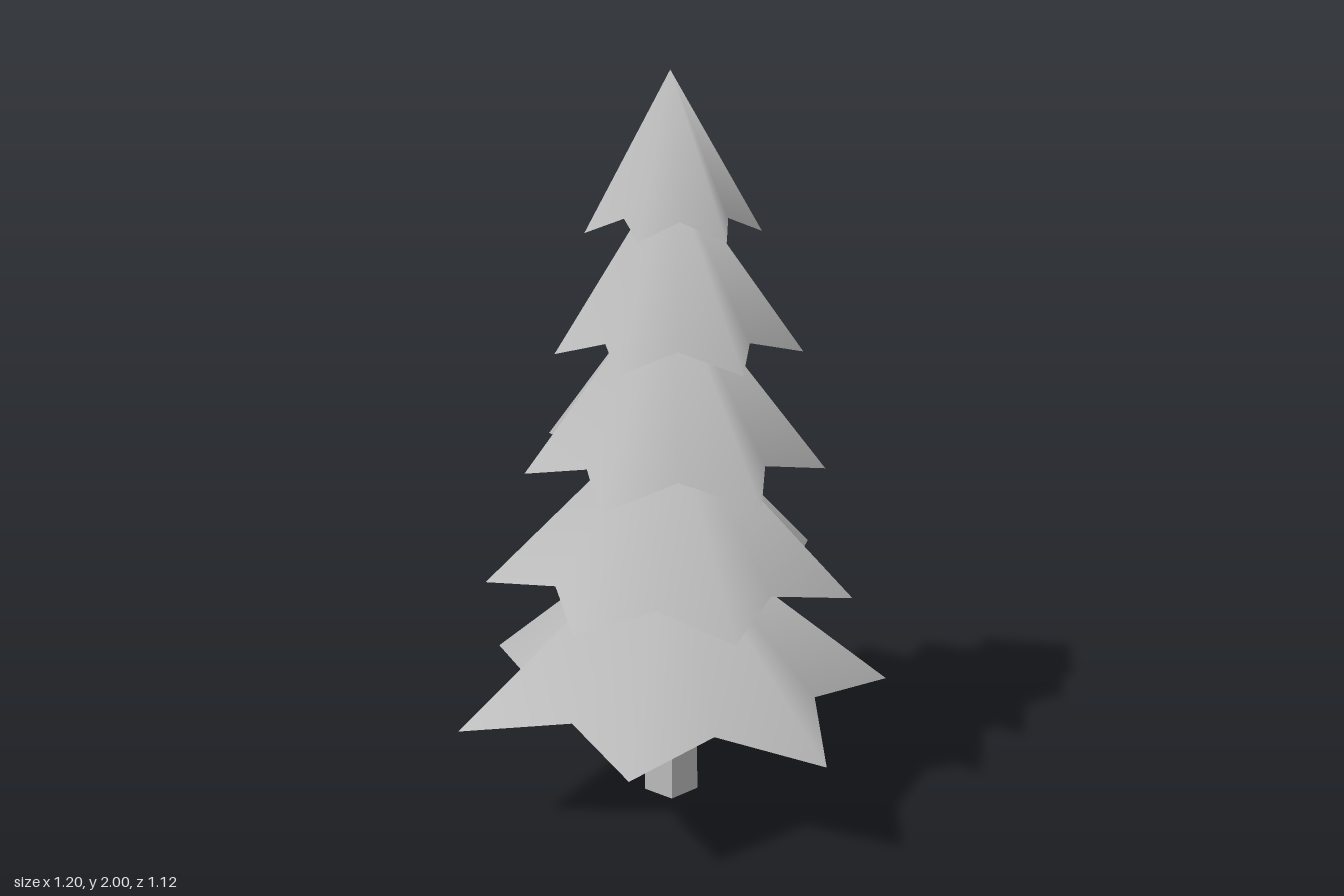
import * as THREE from 'three';

// Axis of the tree
const AXIS = { x: -0.013, z: 0.04 };

// Each tier: tip height, apex height, and the seven branch tips as x, z pairs
const TIERS = [
  { y: 0.325, apex: 0.82, inset: 0.775, tips: [-0.09, -0.56, 0.4, -0.4, 0.6, 0.08, 0.33, 0.54, -0.17, 0.555, -0.6, 0.26, -0.5, -0.25] },
  { y: 0.655, apex: 1.15, inset: 0.81, tips: [0.11, -0.485, 0.415, -0.175, 0.45, 0.25, 0.1, 0.5, -0.295, 0.4, -0.52, 0.04, -0.315, -0.345] },
  { y: 0.985, apex: 1.5, inset: 0.77, tips: [0.013, -0.41, 0.343, -0.218, 0.388, 0.144, 0.167, 0.442, -0.224, 0.426, -0.404, 0.106, -0.333, -0.253] },
  { y: 1.3, apex: 1.77, inset: 0.77, tips: [0.01, -0.3, 0.285, -0.173, 0.323, 0.128, 0.13, 0.362, -0.17, 0.327, -0.317, 0.09, -0.263, -0.19] },
  { y: 1.607, apex: 2, inset: 0.78, tips: [0, -0.19, 0.19, -0.112, 0.215, 0.09, 0.1, 0.266, -0.112, 0.24, -0.234, 0.08, -0.19, -0.115] },
];

// Hollow star-shaped cone: apex fan over alternating tips and raised notches
function tierGeometry({ y, apex, inset, tips }) {
  const positions = [AXIS.x, apex, AXIS.z];
  const index = [];
  const count = tips.length / 2;
  for (let i = 0; i < count; i++) {
    const j = (i + 1) % count;
    const [x, z] = [tips[2 * i], tips[2 * i + 1]];
    const midX = (x + tips[2 * j]) / 2;
    const midZ = (z + tips[2 * j + 1]) / 2;
    positions.push(x, y, z);
    positions.push(AXIS.x + (midX - AXIS.x) * inset, y + 0.042, AXIS.z + (midZ - AXIS.z) * inset);
  }
  for (let k = 0; k < 2 * count; k++) {
    index.push(0, 1 + ((k + 1) % (2 * count)), 1 + k);
  }
  const geometry = new THREE.BufferGeometry();
  geometry.setAttribute('position', new THREE.Float32BufferAttribute(positions, 3));
  geometry.setIndex(index);
  geometry.computeVertexNormals();
  return geometry;
}

export function createModel() {
  const tree = new THREE.Group();
  tree.name = 'pineTree';
  const grey = new THREE.MeshStandardMaterial({ color: 0xbcbcbc, side: THREE.DoubleSide });
  grey.name = 'plainGrey';

  // Tapered five-sided trunk with flat faces
  const height = 1.7;
  const trunkGeometry = new THREE.CylinderGeometry(0.048, 0.08, height, 5, 1, false, THREE.MathUtils.degToRad(68)).toNonIndexed();
  trunkGeometry.computeVertexNormals();
  const trunk = new THREE.Mesh(trunkGeometry, grey);
  trunk.name = 'trunk';
  trunk.position.set(AXIS.x, height / 2, AXIS.z + 0.004);
  tree.add(trunk);

  // Foliage tiers from bottom to top
  TIERS.forEach((tier, i) => {
    const mesh = new THREE.Mesh(tierGeometry(tier), grey);
    mesh.name = `foliageTier${i + 1}`;
    tree.add(mesh);
  });
  return tree;
}
